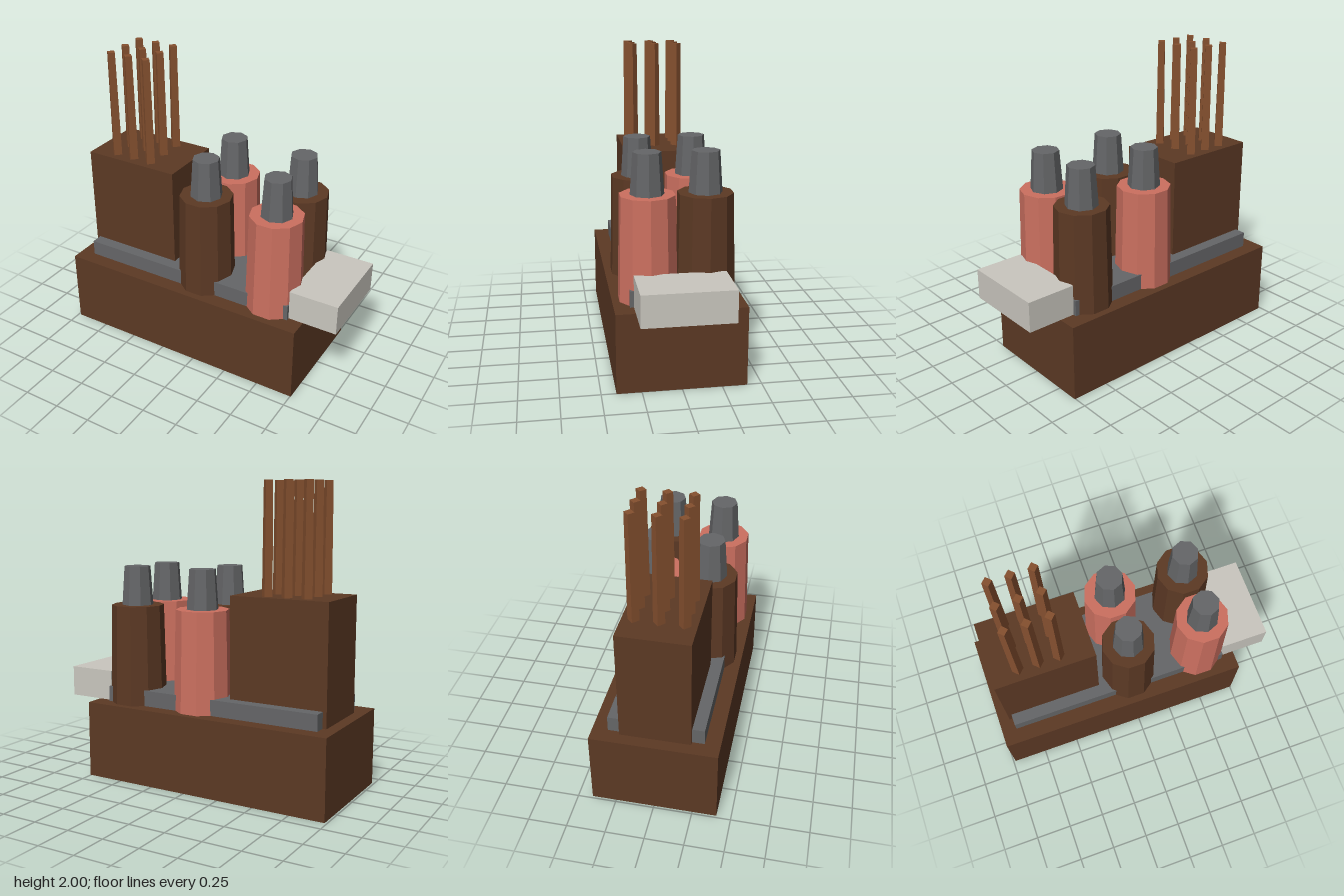
import * as THREE from 'three';

const mat = (name, color) => {
  const m = new THREE.MeshStandardMaterial({ color, flatShading: true });
  m.name = name;
  return m;
};

export function createModel() {
  const group = new THREE.Group();
  const darkBrown = mat('darkBrown', 0x5c3924);
  const rodBrown = mat('rodBrown', 0x85502f);
  const coral = mat('coral', 0xcc7060);
  const grey = mat('grey', 0x656668);
  const paleGrey = mat('paleGrey', 0xcac7bf);

  const add = (name, geometry, material) => {
    const mesh = new THREE.Mesh(geometry, material);
    mesh.name = name;
    group.add(mesh);
    return mesh;
  };
  // Box from its extents in x and y, and half depth in z
  const box = (name, x0, x1, y0, y1, hz, material) =>
    add(name, new THREE.BoxGeometry(x1 - x0, y1 - y0, hz * 2), material)
      .position.set((x0 + x1) / 2, (y0 + y1) / 2, 0);
  // Tapered prism with corners on the x axis
  const prism = (name, x, z, y0, y1, rBottom, rTop, sides, material) => {
    const g = new THREE.CylinderGeometry(rTop, rBottom, y1 - y0, sides, 1, false, Math.PI / 2);
    add(name, g, material).position.set(x, (y0 + y1) / 2, z);
  };

  // Base, tray and blocks
  box('base', -0.985, 0.755, 0, 0.515, 0.407, darkBrown);
  box('tray', -0.885, 0.655, 0.51, 0.62, 0.307, grey);
  box('rodHolder', -0.91, -0.245, 0.51, 1.285, 0.228, darkBrown);
  box('sideBlock', 0.655, 0.983, 0.517, 0.72, 0.284, paleGrey);

  // Four bottles in alternating colours, each with a grey cap
  [-0.015, 0.495].forEach((x, i) => [-0.18, 0.18].forEach((z, j) => {
    prism('bottle', x, z, 0.51, 1.18, 0.19, 0.175, 10, (i + j) % 2 ? darkBrown : coral);
    prism('bottleCap', x, z, 1.175, 1.44, 0.106, 0.088, 8, grey);
  }));

  // Three by three rods
  for (const x of [-0.735, -0.602, -0.467])
    for (const z of [-0.153, 0, 0.153])
      prism('rod', x, z, 1.28, 2, 0.037, 0.031, 4, rodBrown);

  return group;
}
